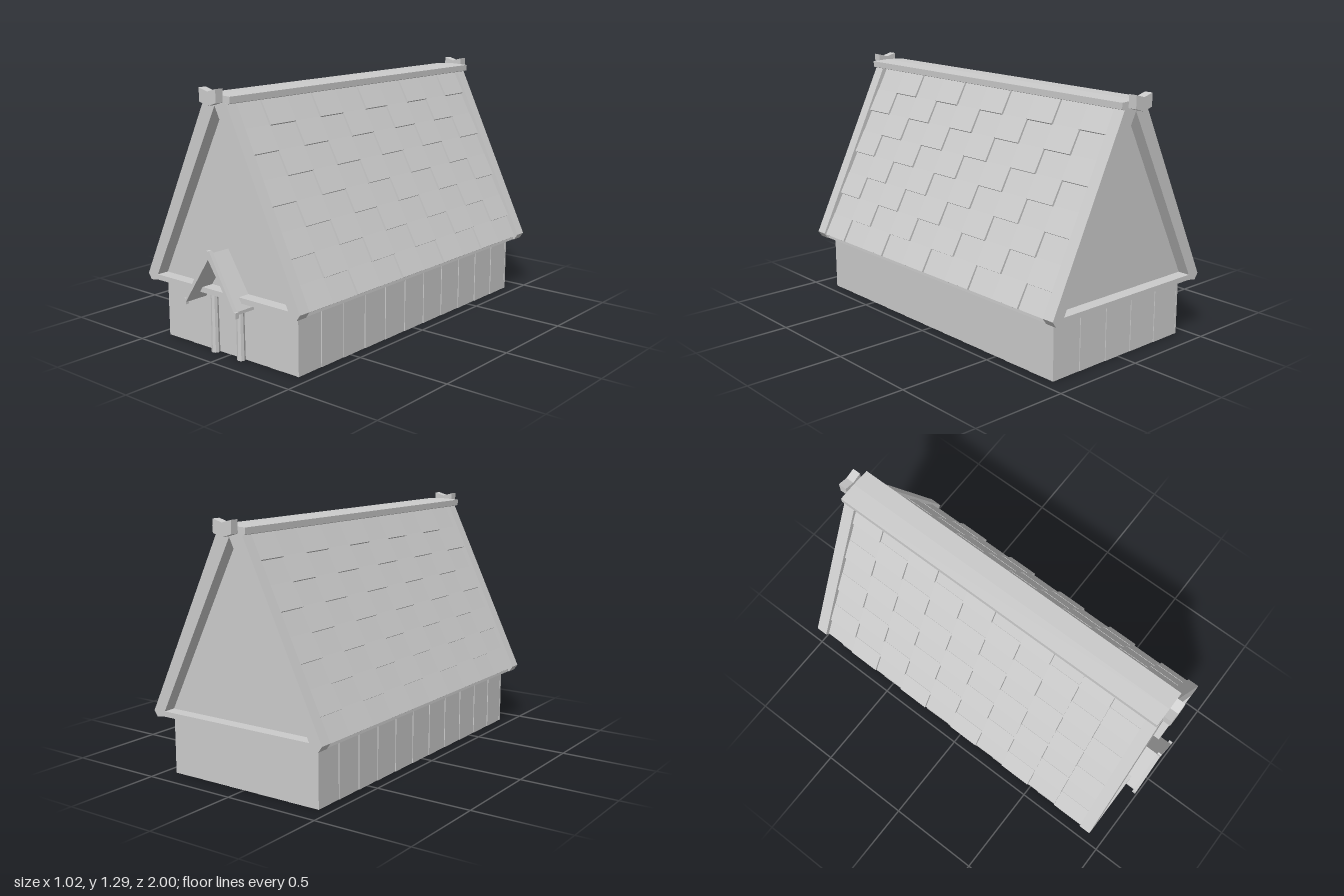
import * as THREE from 'three';

const Z_FRONT = 0.869, Z_BACK = -0.888, DEPTH = Z_FRONT - Z_BACK, Z_MID = (Z_FRONT + Z_BACK) / 2;

export function createModel() {
  const house = new THREE.Group();
  house.name = 'gabledHouse';
  const material = new THREE.MeshStandardMaterial({ color: 0xcccccc, flatShading: true });

  const add = (geometry, name, x = 0, y = 0, z = 0, parent = house) => {
    const mesh = new THREE.Mesh(geometry, material);
    mesh.name = name;
    mesh.position.set(x, y, z);
    parent.add(mesh);
    return mesh;
  };
  const group = (name) => {
    const g = new THREE.Group();
    g.name = name;
    house.add(g);
    return g;
  };
  const points = (list) => list.map(([x, y]) => new THREE.Vector2(x, y));
  // Closed outline from its right half; points on the centre line are not repeated
  const mirrored = (half) => points([...half, ...half.filter(([x]) => x > 0).reverse().map(([x, y]) => [-x, y])]);
  const extrude = (outline, depth, hole) => {
    const shape = new THREE.Shape(outline);
    if (hole) shape.holes.push(new THREE.Path(hole));
    return new THREE.ExtrudeGeometry(shape, { depth, bevelEnabled: false });
  };

  // Plank walls around a solid core
  add(new THREE.BoxGeometry(0.868, 0.305, DEPTH - 0.012), 'wallCore', 0, 0.1525, Z_MID);
  const planks = group('wallPlanks');
  const sideWidth = DEPTH / 11, endWidth = 0.88 / 5;
  for (const s of [-1, 1]) {
    for (let i = 0; i < 11; i++) {
      const plank = add(new THREE.BoxGeometry(0.012, 0.304, sideWidth - 0.002), 'sidePlank',
        s * 0.433, 0.152, Z_BACK + (i + 0.5) * sideWidth, planks);
      plank.rotation.y = 0.02;
    }
    for (let i = 0; i < 5; i++) {
      const plank = add(new THREE.BoxGeometry(endWidth - 0.002, 0.304, 0.012), 'endPlank',
        -0.44 + (i + 0.5) * endWidth, 0.152, s > 0 ? Z_FRONT - 0.007 : Z_BACK + 0.007, planks);
      plank.rotation.y = 0.015;
    }
  }

  // Solid roof body, whose ends are the gable panels
  const roofOutline = mirrored([[0.483, 0.295], [0.482, 0.312], [0.036, 1.225]]);
  add(extrude(roofOutline, DEPTH), 'roofBody', 0, 0, Z_BACK);

  // Shingles: checkerboard of thin and raised tilted tiles on both slopes
  const shingles = group('shingles');
  const foot = [0.51, 0.325], top = [0.075, 1.222];
  const slopeLength = Math.hypot(foot[0] - top[0], top[1] - foot[1]);
  const nx = (top[1] - foot[1]) / slopeLength, ny = (foot[0] - top[0]) / slopeLength;
  const lean = Math.asin(ny), rows = 8, columns = 10, tileWidth = DEPTH / columns;
  for (const s of [-1, 1]) {
    for (let j = 0; j < rows; j++) {
      for (let i = 0; i < columns; i++) {
        const raised = (i + j) % 2 === 0;
        const inset = raised ? -0.024 : -0.032;
        const t = (j + 0.5) / rows;
        const x = foot[0] + (top[0] - foot[0]) * t + nx * inset;
        const y = foot[1] + (top[1] - foot[1]) * t + ny * inset;
        const tile = add(new THREE.BoxGeometry(0.02, slopeLength / rows + 0.004, tileWidth - 0.002), 'shingle',
          s * x, y, Z_FRONT - (i + 0.5) * tileWidth, shingles);
        tile.rotation.z = s * (lean + (raised ? 0.06 : 0.04));
      }
    }
  }

  // Bargeboards with tie beam framing each gable
  const frameOutline = mirrored([[0.44, 0.303], [0.489, 0.295], foot, top]);
  const frameHole = points([[-0.44, 0.33], [0, 1.207], [0.44, 0.33]]);
  const frame = extrude(frameOutline, 0.063, frameHole);
  add(frame, 'frontBargeboards', 0, 0, Z_FRONT);
  add(frame, 'backBargeboards', 0, 0, Z_BACK - 0.065);

  // Ridge cap and its upturned end pieces
  const capOutline = mirrored([[0, 1.215], [0.085, 1.22], [0.097, 1.224], [0.097, 1.255], [0, 1.259]]);
  add(extrude(capOutline, 1.885), 'ridgeCap', 0, 0, -0.955);
  const finialOutline = mirrored([[0, 1.21], [0.054, 1.226], [0.054, 1.29], [0, 1.275]]);
  const finial = extrude(finialOutline, 0.044);
  add(finial, 'frontRidgeEnd', 0, 0, 0.931);
  add(finial, 'backRidgeEnd', 0, 0, -0.999);

  // Small porch gable with a front trim
  const porchOutline = mirrored([[0, 0.505], [0.162, 0.262], [0.162, 0.277], [0, 0.527]]);
  add(extrude(porchOutline, 0.115), 'porchRoof', 0, 0, 0.865);
  const trimOutline = mirrored([[0, 0.5], [0.162, 0.263], [0.162, 0.251], [0.175, 0.251],
    [0.175, 0.28], [0.162, 0.28], [0.008, 0.543], [0, 0.54]]);
  add(extrude(trimOutline, 0.02), 'porchTrim', 0, 0, 0.979);

  // Door posts
  for (const s of [-1, 1]) {
    add(new THREE.CylinderGeometry(0.018, 0.021, 0.31, 8), 'porchPost', s * 0.087, 0.155, 0.884);
  }
  return house;
}
